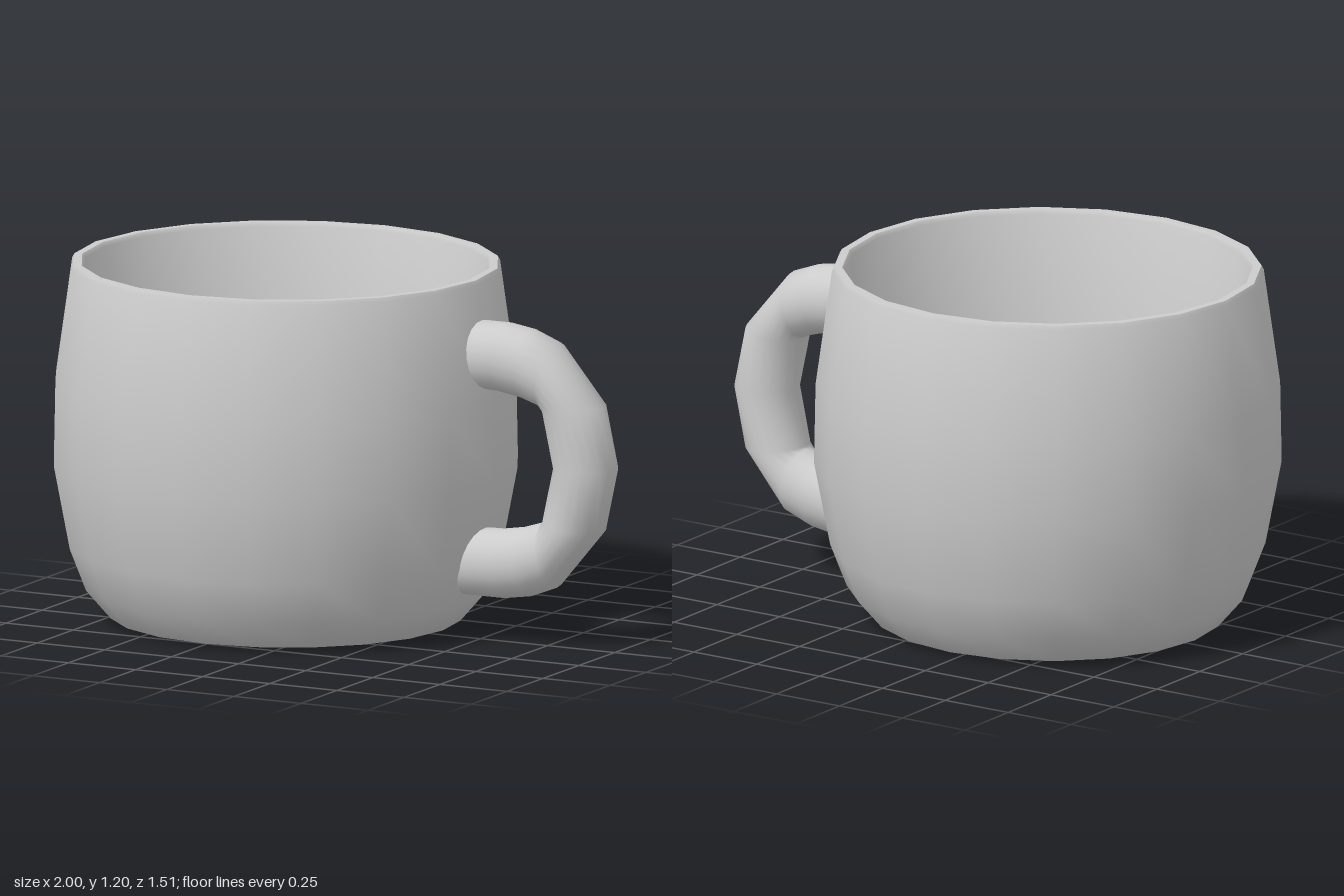
import * as THREE from 'three';
import { toCreasedNormals } from 'three/addons/utils/BufferGeometryUtils.js';

const SIDES = 20, CENTRE_X = -0.225, STRETCH = 1.027;

// Wall profiles as [radius, height]
const OUTER = [[0.57, 0.015], [0.65, 0.11], [0.703, 0.25], [0.755, 0.53], [0.75, 0.8], [0.697, 1.185]];
const RIM = [[0.69, 1.198], [0.664, 1.198]];
const INNER = [[0.655, 1.185], [0.645, 0.14]];

// Outer wall radius at a given height
function wallRadius(y) {
  for (let i = 1; i < OUTER.length; i++) {
    const [r0, y0] = OUTER[i - 1], [r1, y1] = OUTER[i];
    if (y <= y1) return r0 + (r1 - r0) * (y - y0) / (y1 - y0);
  }
  return OUTER[OUTER.length - 1][0];
}

// One closed lathe: base, outer wall, rim, straight inner wall, flat floor
function bodyGeometry() {
  const profile = [[0, 0], [0.46, 0], ...OUTER, ...RIM, ...INNER, [0, 0.14]];
  const geo = new THREE.LatheGeometry(profile.map(([r, y]) => new THREE.Vector2(r, y)), SIDES);
  geo.scale(STRETCH, 1, 1);
  geo.translate(CENTRE_X, 0, 0);
  return toCreasedNormals(geo, 0.8);
}

// Round bar lofted through rings, with both ends sunk into the wall
function handleGeometry() {
  const midY = 0.607, radial = 20, halfWidth = 0.108;
  // Outer x, outer y, inner x, inner y of each ring, heights from the middle
  const upper = [
    [0.5, 0.461, 0.5, 0.233], [0.6, 0.461, 0.58, 0.231], [0.69, 0.447, 0.665, 0.217],
    [0.785, 0.41, 0.738, 0.194], [0.955, 0.208, 0.743, 0.186],
  ];
  const lower = upper.map(([ox, oy, ix, iy]) => [ox, -oy, ix, -iy]).reverse();
  const rings = [...upper, [1, 0, 0.784, 0], ...lower];
  const positions = [], index = [];

  rings.forEach(([ox, oy, ix, iy], i) => {
    const isEnd = i === 0 || i === rings.length - 1;
    for (let j = 0; j < radial; j++) {
      const angle = j / radial * Math.PI * 2;
      const c = Math.cos(angle) / 2, z = Math.sin(angle) * halfWidth;
      const y = midY + (oy + iy) / 2 + (oy - iy) * c;
      let x = (ox + ix) / 2 + (ox - ix) * c;
      // Fit the end rings to the curve of the wall
      if (isEnd) x = CENTRE_X + STRETCH * (Math.sqrt(wallRadius(y) ** 2 - z * z) - 0.02);
      positions.push(x, y, z);
      if (i < rings.length - 1) {
        const a = i * radial + j, d = i * radial + (j + 1) % radial;
        index.push(a, d, a + radial, a + radial, d, d + radial);
      }
    }
  });

  const geo = new THREE.BufferGeometry();
  geo.setAttribute('position', new THREE.Float32BufferAttribute(positions, 3));
  geo.setIndex(index);
  geo.computeVertexNormals();
  return geo;
}

export function createModel() {
  const group = new THREE.Group();
  group.name = 'mug';
  const material = new THREE.MeshStandardMaterial({ color: 0xcccccc });
  const add = (name, geometry) => {
    const mesh = new THREE.Mesh(geometry, material);
    mesh.name = name;
    group.add(mesh);
  };
  add('body', bodyGeometry());
  add('handle', handleGeometry());
  return group;
}
